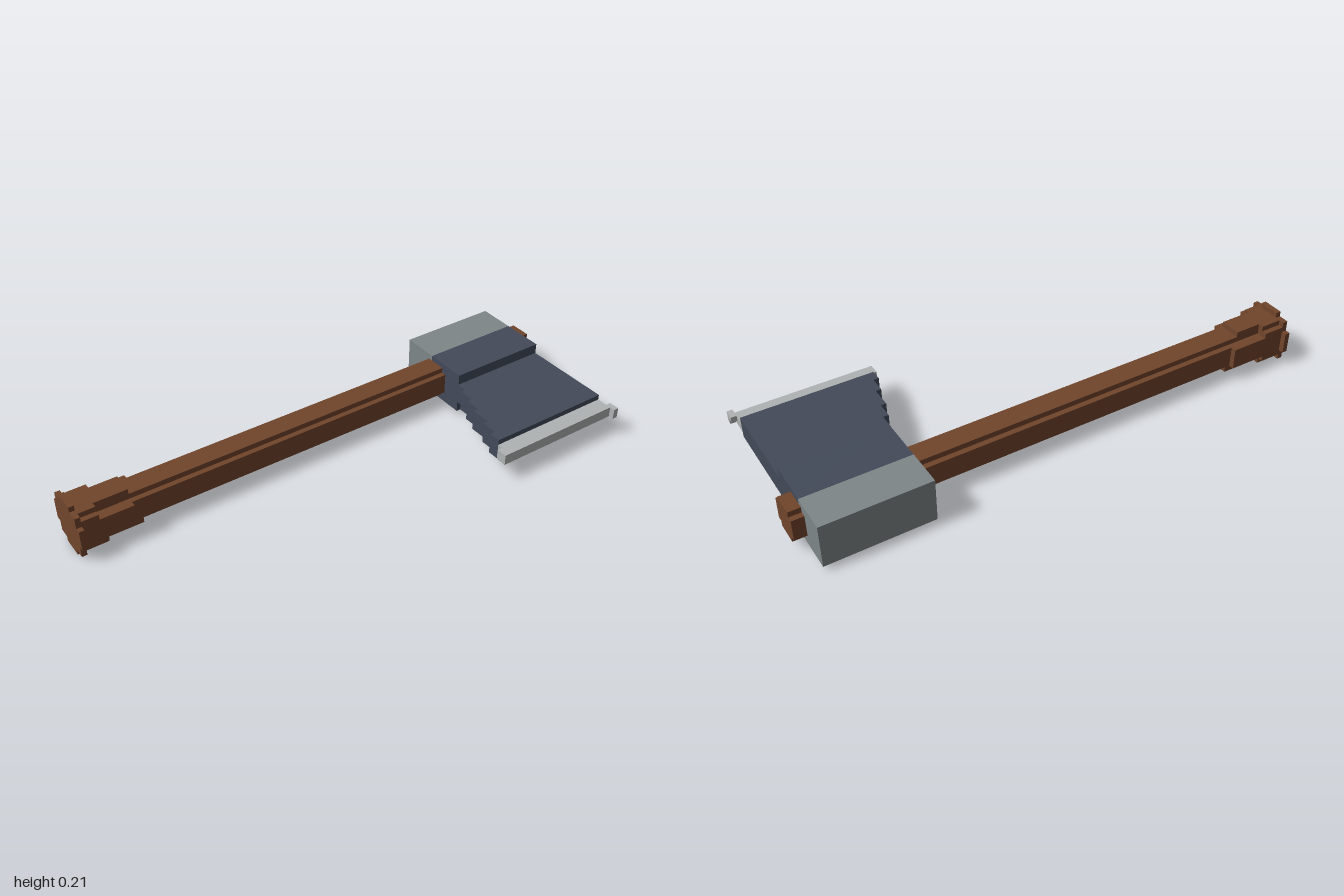
import * as THREE from 'three';

const U = 1 / 48; // grid unit
const CY = 5 * U, CZ = -10 * U; // handle axis

const mat = (name, color) => {
  const m = new THREE.MeshStandardMaterial({ color });
  m.name = name;
  return m;
};

export function createModel() {
  const wood = mat('brown wood', 0x71452b);
  const darkSteel = mat('dark steel', 0x434a59);
  const greySteel = mat('grey steel', 0x7e8687);
  const brightSteel = mat('bright steel', 0xb0b3b3);
  const group = new THREE.Group();
  group.name = 'axe';

  const add = (name, geometry, material) => {
    const mesh = new THREE.Mesh(geometry, material);
    mesh.name = name;
    group.add(mesh);
  };

  // Box given by its limits on each axis
  const box = (name, material, [x0, x1], [y0, y1], [z0, z1]) => add(name,
    new THREE.BoxGeometry(x1 - x0, y1 - y0, z1 - z0)
      .translate((x0 + x1) / 2, (y0 + y1) / 2, (z0 + z1) / 2), material);

  // Prism along x around the handle axis; points are [z, y] in grid units
  const prism = (name, points, x0, x1) => {
    const shape = new THREE.Shape(points.map(([z, y]) => new THREE.Vector2(-z * U, y * U)));
    const g = new THREE.ExtrudeGeometry(shape, { depth: x1 - x0, bevelEnabled: false });
    add(name, g.rotateY(Math.PI / 2).translate(x0, CY, CZ), wood);
  };

  // Stepped round section, mirrored from one quarter
  const section = (quarter) => {
    const flip = [...quarter].reverse();
    return [
      ...quarter, ...flip.map(([z, y]) => [-z, y]),
      ...quarter.map(([z, y]) => [-z, -y]), ...flip.map(([z, y]) => [z, -y]),
    ];
  };

  // Handle shaft and end cap
  prism('handleShaft', section([[3, 2], [2, 2], [2, 3]]), -0.98, 1);
  prism('handleCap', section([[5, 2], [4, 2], [4, 4], [2, 4], [2, 5]]), -1, -0.98);

  // Grip collar: four pads of uneven length
  const rect = (z0, z1, y0, y1) => [[z0, y0], [z1, y0], [z1, y1], [z0, y1]];
  prism('gripPadTop', rect(-2, 2, 2.9, 4), -0.98, -0.79);
  prism('gripPadBottom', rect(-2, 2, -4, -2.9), -0.98, -0.75);
  prism('gripPadFront', rect(2.9, 4, -2, 2), -0.98, -0.79);
  prism('gripPadBack', rect(-4, -2.9, -2, 2), -0.98, -0.75);

  // Corner fillers between the pads
  for (const [sz, sy, end] of [[1, 1, -0.917], [1, -1, -0.896], [-1, 1, -0.896], [-1, -1, -0.896]]) {
    const corner = [[2, 2], [4, 2], [4, 3], [3, 3], [3, 4], [2, 4]];
    prism('gripCorner', corner.map(([z, y]) => [z * sz, y * sy]), -0.98, end);
  }

  // Axe head
  const headX = [0.557, 0.955], headY = [U, 9 * U];
  box('headPoll', greySteel, headX, headY, [-0.38, -0.233]);
  box('headEye', darkSteel, headX, headY, [-0.233, -0.064]);

  // Blade with a stepped inner side
  const steps = [[0.557, -0.021], [0.536, 0.041], [0.515, 0.103], [0.494, 0.187], [0.473, 0.25], [0.452, 0.295]];
  const blade = new THREE.Shape();
  blade.moveTo(headX[1], 0.064);
  let z = -0.064;
  for (const [x, next] of steps) {
    blade.lineTo(x, -z);
    blade.lineTo(x, -next);
    z = next;
  }
  blade.lineTo(headX[1], -z);
  add('blade', new THREE.ExtrudeGeometry(blade, { depth: 4 * U, bevelEnabled: false })
    .rotateX(-Math.PI / 2).translate(0, 3 * U, 0), darkSteel);

  // Cutting edge with a small hooked tip
  box('cuttingEdgeBack', brightSteel, [0.452, 0.955], [4 * U, 6 * U], [0.295, 0.316]);
  box('cuttingEdge', brightSteel, [0.431, 0.955], [4 * U, 6 * U], [0.316, 0.359]);
  box('edgeTipUpper', brightSteel, [0.955, 0.976], [5 * U, 6 * U], [0.338, 0.38]);
  box('edgeTipLower', brightSteel, [0.955, 0.976], [4 * U, 5 * U], [0.359, 0.38]);

  return group;
}
